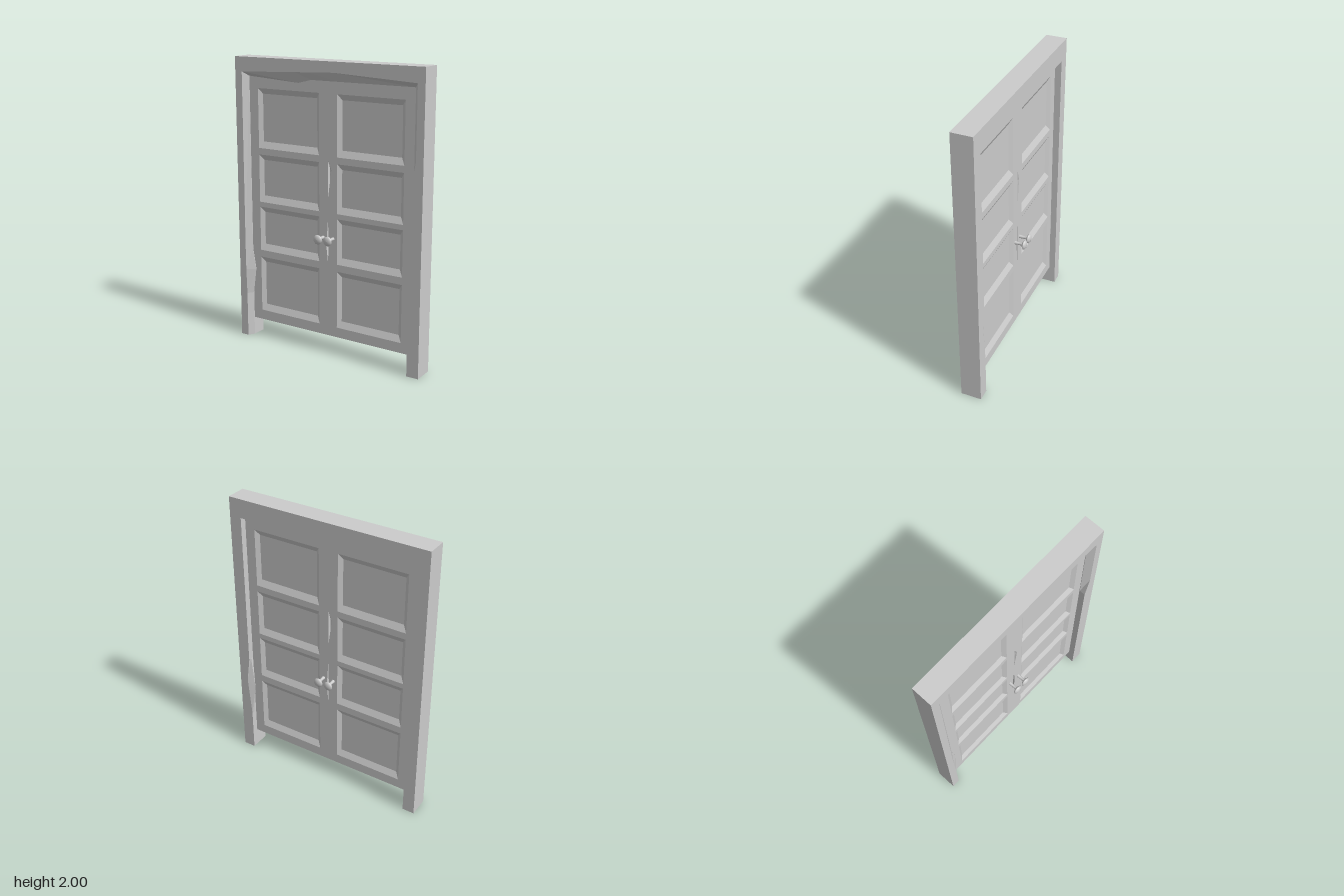
import * as THREE from 'three';

const grey = () => new THREE.MeshStandardMaterial({ color: 0xcccccc, flatShading: true });

// Flat-shaded solid through matching counter-clockwise loops of [x, y], listed with their z
function loft(levels, capFirst, capLast) {
  const pos = [];
  const put = (level, i) => {
    const p = level.loop[i % level.loop.length];
    pos.push(p[0], p[1], level.z);
  };
  for (let k = 0; k + 1 < levels.length; k++) {
    const f = levels[k], b = levels[k + 1];
    for (let i = 0; i < f.loop.length; i++) {
      put(f, i); put(b, i); put(b, i + 1);
      put(f, i); put(b, i + 1); put(f, i + 1);
    }
  }
  const cap = (level, flip) => {
    const pts = level.loop.map(p => new THREE.Vector2(p[0], p[1]));
    for (const t of THREE.ShapeUtils.triangulateShape(pts, [])) {
      (flip ? [t[0], t[2], t[1]] : t).forEach(i => put(level, i));
    }
  };
  if (capFirst) cap(levels[0], false);
  if (capLast) cap(levels[levels.length - 1], true);
  const g = new THREE.BufferGeometry();
  g.setAttribute('position', new THREE.Float32BufferAttribute(pos, 3));
  g.computeVertexNormals();
  return g;
}

const rect = (x0, y0, x1, y1) => [[x0, y0], [x1, y0], [x1, y1], [x0, y1]];

function add(parent, name, geometry, material) {
  const m = new THREE.Mesh(geometry, material);
  m.name = name;
  parent.add(m);
  return m;
}

// Door surround: an upside-down U whose inner edge is worn differently at each depth
function frameGeometry() {
  const inner = [
    [-0.635, 0], [-0.635, 0.32], [-0.635, 0.5], [-0.635, 0.65], [-0.635, 1.87],
    [-0.23, 1.87], [-0.13, 1.87], [0.07, 1.87], [0.635, 1.87],
    [0.635, 1.42], [0.635, 1.25], [0.635, 0.78], [0.635, 0.54], [0.635, 0.31], [0.635, 0],
  ];
  const level = (z, edits) => ({
    z,
    loop: [[-0.72, 0], ...inner.map((p, i) => edits[i] || p), [0.72, 0], [0.72, 2], [-0.72, 2]],
  });
  return loft([
    level(0.072, {
      0: [-0.662, 0], 1: [-0.662, 0.32], 2: [-0.667, 0.5], 3: [-0.668, 0.65], 4: [-0.665, 1.9],
      5: [-0.23, 1.918], 6: [-0.13, 1.922], 7: [0.07, 1.93], 8: [0.668, 1.9], 9: [0.668, 1.42],
    }),
    level(0.03, { 2: [-0.61, 0.5], 5: [-0.23, 1.845] }),
    level(-0.03, {}),
    level(-0.05, { 12: [0.61, 0.54] }),
    level(-0.072, { 12: [0.66, 0.6] }),
  ], true, true);
}

// One side of the double door: flat face, eight sunken panels and two splits
function doorFace() {
  const side = new THREE.Group();
  const zFace = 0.027, zPanel = 0.007;
  const toPoints = loop => loop.map(p => new THREE.Vector2(p[0], p[1]));
  const face = new THREE.Shape(toPoints(rect(-0.635, 0.13, 0.635, 1.87)));

  const sink = (name, outer, inner, z) => {
    face.holes.push(new THREE.Path(toPoints(outer)));
    add(side, name, loft([{ loop: inner, z }, { loop: outer, z: zFace }], true, false), grey());
  };

  const rows = [[0.2, 0.6], [0.65, 0.965], [1.0, 1.335], [1.38, 1.79]];
  for (const [y0, y1] of rows) {
    for (const s of [-1, 1]) {
      const cx = s * 0.3175;
      sink('sunkenPanel',
        rect(cx - 0.2475, y0, cx + 0.2475, y1),
        rect(cx - 0.22, y0 + 0.045, cx + 0.22, y1 - 0.038), zPanel);
    }
  }

  // Splits in the wood along the centre
  sink('upperSplit',
    [[0, 1.1], [0.026, 1.29], [0.002, 1.36], [0, 1.23]],
    [[0, 1.16], [0.006, 1.27], [0.002, 1.31], [0, 1.23]], 0.003);
  sink('lowerSplit',
    [[0, 0.64], [0.003, 0.8], [0, 0.97], [-0.014, 0.77]],
    [[0, 0.68], [0.001, 0.8], [0, 0.92], [-0.003, 0.77]], 0.003);

  const g = new THREE.ShapeGeometry(face);
  g.translate(0, 0, zFace);
  add(side, 'doorFace', g, grey());

  // Pair of round knobs on short stems
  const profile = [
    [0.013, 0.02], [0.01, 0.05], [0.01, 0.083], [0.022, 0.084], [0.032, 0.091],
    [0.033, 0.097], [0.025, 0.105], [0.012, 0.109], [0, 0.11],
  ].map(p => new THREE.Vector2(p[0], p[1]));
  for (const s of [-1, 1]) {
    const knobGeo = new THREE.LatheGeometry(profile, 14);
    knobGeo.rotateX(Math.PI / 2);
    const knob = add(side, 'knob', knobGeo, new THREE.MeshStandardMaterial({ color: 0xcccccc }));
    knob.position.set(s * 0.039, 0.824, 0);
  }
  return side;
}

export function createModel() {
  const model = new THREE.Group();
  model.name = 'doubleDoor';

  add(model, 'frame', frameGeometry(), grey());

  // Outer edges of the door slab
  const edge = rect(-0.635, 0.13, 0.635, 1.87);
  add(model, 'doorEdges', loft([{ loop: edge, z: 0.027 }, { loop: edge, z: -0.027 }], false, false), grey());

  // The back is the front turned half way round
  const front = doorFace();
  front.name = 'doorFront';
  const back = doorFace();
  back.name = 'doorBack';
  back.rotation.y = Math.PI;
  model.add(front, back);

  return model;
}
